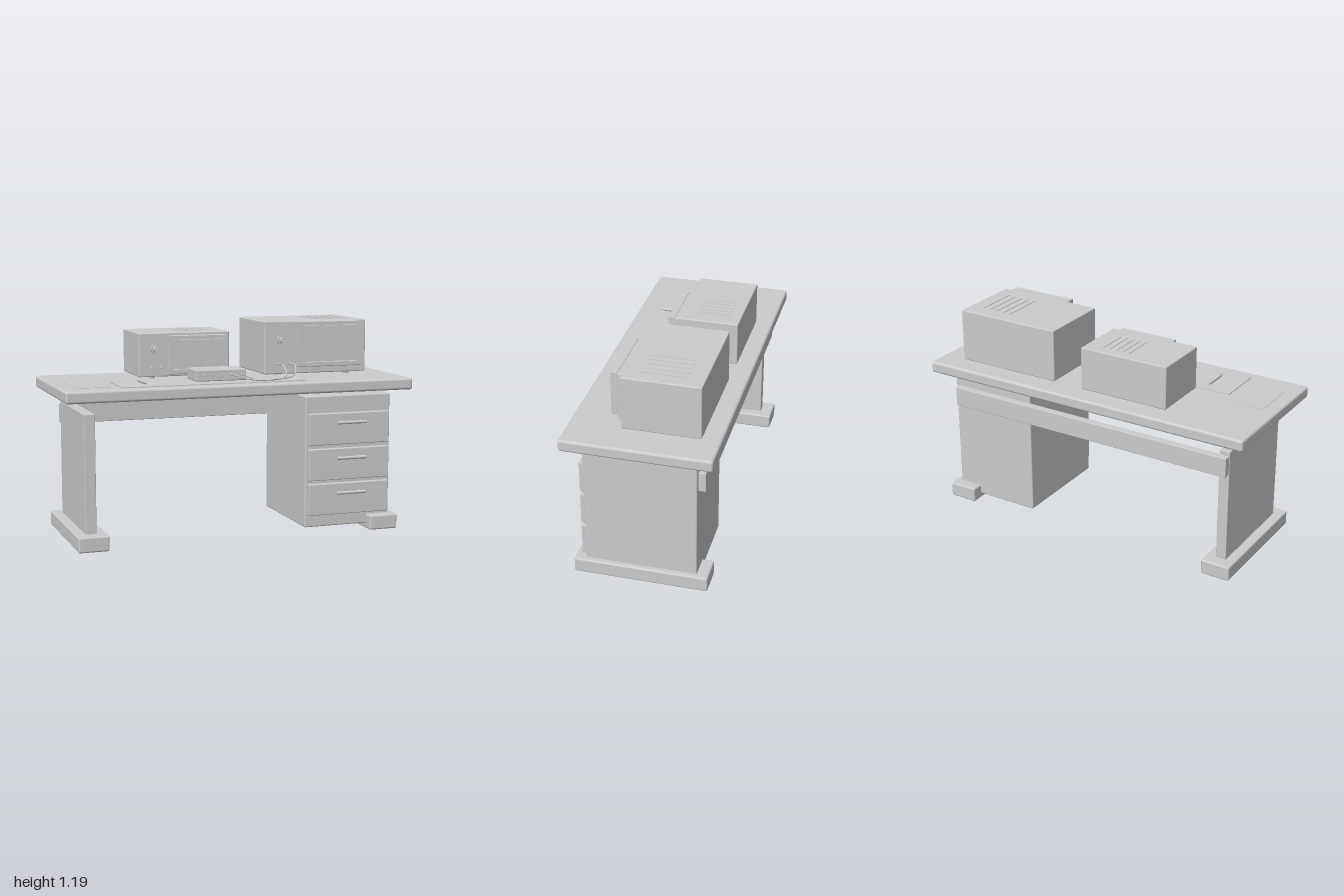
import * as THREE from 'three';
import { RoundedBoxGeometry } from 'three/addons/geometries/RoundedBoxGeometry.js';

export function createModel() {
  const root = new THREE.Group();
  root.name = 'workbench';
  const grey = new THREE.MeshStandardMaterial({ color: 0xcccccc });
  grey.name = 'light grey';

  const add = (parent, name, geometry) => {
    const mesh = new THREE.Mesh(geometry, grey);
    mesh.name = name;
    parent.add(mesh);
    return mesh;
  };
  // Box given by its extents on each axis; r > 0 rounds the edges
  const box = (parent, name, [x0, x1], [y0, y1], [z0, z1], r = 0) => {
    const s = [x1 - x0, y1 - y0, z1 - z0];
    const g = r ? new RoundedBoxGeometry(...s, 3, r) : new THREE.BoxGeometry(...s);
    const mesh = add(parent, name, g);
    mesh.position.set((x0 + x1) / 2, (y0 + y1) / 2, (z0 + z1) / 2);
    return mesh;
  };
  // Cylinder along the chosen axis
  const rod = (parent, name, axis, r, length, x, y, z, r2 = r) => {
    const g = new THREE.CylinderGeometry(r, r2, length, 24);
    if (axis === 'x') g.rotateZ(-Math.PI / 2);
    if (axis === 'z') g.rotateX(Math.PI / 2);
    const mesh = add(parent, name, g);
    mesh.position.set(x, y, z);
    return mesh;
  };
  const group = (name) => {
    const g = new THREE.Group();
    g.name = name;
    root.add(g);
    return g;
  };

  // Desk frame
  const desk = group('desk');
  box(desk, 'desktop', [-1, 1], [0.807, 0.873], [-0.407, 0.407], 0.014);
  box(desk, 'rightLeg', [-0.88, -0.82], [0.08, 0.735], [-0.3, 0.3], 0.004);
  box(desk, 'rearBeam', [-0.88, 0.88], [0.603, 0.715], [-0.345, -0.303], 0.004);
  for (const side of [-1, 1]) {
    const foot = box(desk, 'foot', [-0.085, 0.085], [0, 0.085], [-0.37, 0.37], 0.01);
    foot.position.x = side * 0.85;
  }

  // Drawer cabinet
  const cabinet = group('drawerCabinet');
  box(cabinet, 'cabinetBody', [0.385, 0.905], [0.03, 0.78], [-0.305, 0.31], 0.008);
  for (const y of [0.19, 0.39, 0.592]) {
    box(cabinet, 'drawerFront', [0.4, 0.892], [y - 0.09, y + 0.09], [0.305, 0.335], 0.005);
    rod(cabinet, 'drawerHandle', 'x', 0.009, 0.175, 0.643, y + 0.04, 0.371);
    for (const x of [0.575, 0.711]) rod(cabinet, 'handlePost', 'z', 0.006, 0.04, x, y + 0.04, 0.35);
  }

  // Bench instrument: body, screen surround, dial, sockets, vents and feet
  const instrument = (name, o) => {
    const g = group(name);
    const [x0, x1] = o.x, [z0, z1] = o.z, [s0, s1] = o.screenX, [t0, t1] = o.screenY;
    box(g, 'instrumentBody', o.x, [0.89, o.top], o.z, 0.006);
    box(g, 'screenPlate', [s0, s1 + 0.008], [t0 - 0.012, t1], [z1 - 0.01, z1 + 0.025], 0.004);

    // Open frame with the screen set back inside it
    const w = s1 - s0, h = t1 - t0;
    const outline = (m) => [[m, m], [w - m, m], [w - m, h - m], [m, h - m]].map((p) => new THREE.Vector2(...p));
    const shape = new THREE.Shape(outline(0));
    shape.holes.push(new THREE.Path(outline(0.017)));
    const frame = add(g, 'screenFrame', new THREE.ExtrudeGeometry(shape, { depth: 0.036, bevelEnabled: false }));
    frame.position.set(s0, t0, z1 + 0.025);
    box(g, 'screen', [s0 + 0.024, s1 - 0.024], [t0 + 0.024, t1 - 0.024], [z1 + 0.02, z1 + 0.05]);

    rod(g, 'dialSkirt', 'z', o.dialR, 0.012, o.dial[0], o.dial[1], z1 + 0.006);
    rod(g, 'dial', 'z', o.dialR * 0.65, 0.036, o.dial[0], o.dial[1], z1 + 0.024);
    for (const x of o.sockets) rod(g, 'socket', 'z', 0.008, 0.024, x, o.socketY, z1 + 0.01);

    // Vent bars across the lid
    for (let i = 0; i < 5; i++) {
      const x = o.ventX + i * o.ventStep;
      box(g, 'vent', [x, x + 0.012], [o.top - 0.002, o.top + 0.003], o.ventZ);
    }
    for (const x of [x0 + 0.09, x1 - 0.09])
      for (const z of [z0 + 0.075, z1 - 0.075]) rod(g, 'instrumentFoot', 'y', 0.018, 0.022, x, 0.882, z);
  };
  instrument('leftInstrument', {
    x: [0.21, 0.835], z: [-0.31, 0.117], top: 1.19, screenX: [0.402, 0.792], screenY: [0.94, 1.187],
    dial: [0.31, 1.083], dialR: 0.027, sockets: [0.29, 0.365], socketY: 0.95,
    ventX: 0.56, ventStep: 0.046, ventZ: [-0.22, 0.025],
  });
  instrument('rightInstrument', {
    x: [-0.5, 0.03], z: [-0.315, 0.025], top: 1.135, screenX: [-0.335, 0.004], screenY: [0.915, 1.12],
    dial: [-0.405, 1.045], dialR: 0.028, sockets: [-0.43, -0.375], socketY: 0.942,
    ventX: -0.24, ventStep: 0.04, ventZ: [-0.25, -0.07],
  });

  // Small control box with a row of front sockets
  const control = group('controlBox');
  box(control, 'controlBody', [-0.243, 0.047], [0.882, 0.945], [0.095, 0.265], 0.006);
  for (const x of [-0.195, -0.145, -0.09, -0.04, 0.02]) rod(control, 'controlSocket', 'z', 0.008, 0.018, x, 0.915, 0.27);

  // Two leads joining the box to the left instrument
  const leads = [
    [[0.29, 0.95, 0.13], [0.29, 0.948, 0.21], [0.28, 0.9, 0.275], [0.2, 0.885, 0.305], [0.08, 0.885, 0.3], [-0.04, 0.915, 0.275]],
    [[0.365, 0.95, 0.13], [0.365, 0.945, 0.2], [0.335, 0.9, 0.26], [0.23, 0.885, 0.3], [0.1, 0.885, 0.295], [0.02, 0.915, 0.275]],
  ];
  for (const points of leads) {
    const curve = new THREE.CatmullRomCurve3(points.map((p) => new THREE.Vector3(...p)));
    add(control, 'lead', new THREE.TubeGeometry(curve, 48, 0.004, 8));
  }

  // Work mat, paper sheet and pen
  const items = group('deskItems');
  box(items, 'workMat', [-0.68, 0.37], [0.872, 0.878], [0.07, 0.34]);
  box(items, 'paperSheet', [-0.92, -0.73], [0.872, 0.875], [0, 0.28]);
  rod(items, 'penBarrel', 'z', 0.01, 0.13, -0.53, 0.888, 0.185);
  rod(items, 'penTip', 'z', 0.002, 0.035, -0.53, 0.888, 0.267, 0.008);

  return root;
}
